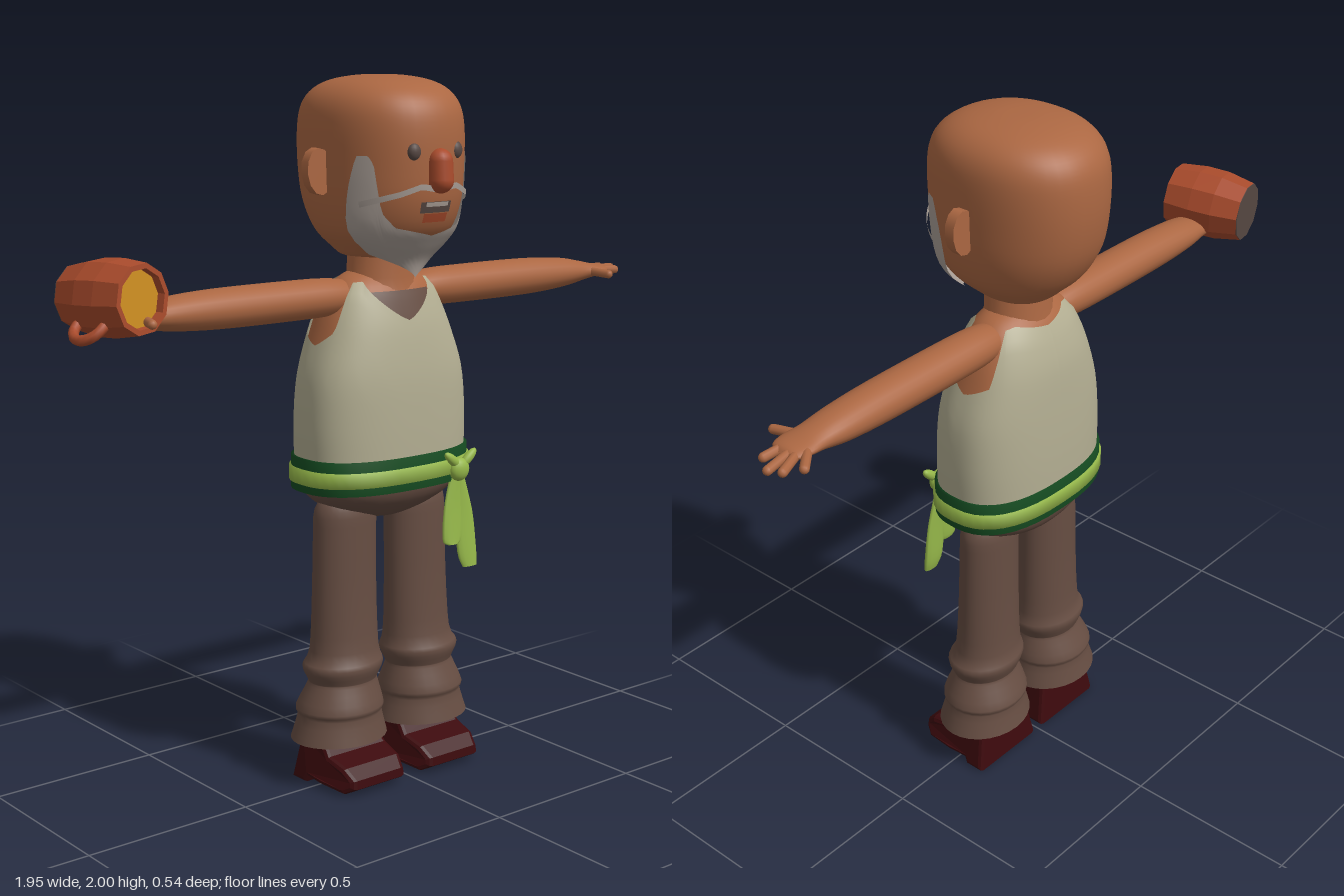
import * as THREE from 'three';

const mat = (name, color) => Object.assign(new THREE.MeshStandardMaterial({ color }), { name });
const M = {
  skin: mat('skin', 0xab6742), shirt: mat('shirt', 0xb3ae92), trousers: mat('trousers', 0x664d42),
  darkGreen: mat('dark green', 0x164d22), lightGreen: mat('light green', 0x96b84a), shoe: mat('shoe leather', 0x3d0a0d),
  beard: mat('beard', 0xaa9f97), wood: mat('wood red', 0xa94b2c), beer: mat('beer', 0xcf8f22), dark: mat('dark grey', 0x574843),
};
for (const k of ['shirt', 'beard', 'trousers', 'lightGreen']) M[k].side = THREE.DoubleSide;

// A section is [y, rx, rz, cz, roundness, cx]; refine() smooths a short list of them.
const fill = (s) => [s[0], s[1], s[2], s[3] ?? 0, s[4] ?? 2, s[5] ?? 0];
function refine(list, k = 4) {
  const s = list.map(fill), out = [];
  for (let i = 0; i < s.length - 1; i++) {
    const p0 = s[Math.max(i - 1, 0)], p1 = s[i], p2 = s[i + 1], p3 = s[Math.min(i + 2, s.length - 1)];
    for (let j = 0; j < k; j++) {
      const t = j / k;
      out.push(p1.map((v, c) => {
        const w = v + 0.5 * t * (p2[c] - p0[c] + t * (2 * p0[c] - 5 * v + 4 * p2[c] - p3[c] + t * (3 * (v - p2[c]) + p3[c] - p0[c])));
        return c === 1 || c === 2 ? Math.max(w, 0.001) : w;
      }));
    }
  }
  out.push(s[s.length - 1]);
  return out;
}
function lerpTable(table, x) {
  let i = 0;
  while (i < table.length - 2 && x > table[i + 1][0]) i++;
  const a = table[i], b = table[i + 1];
  const t = THREE.MathUtils.clamp((x - a[0]) / (b[0] - a[0]), 0, 1);
  return a.map((v, c) => v + (b[c] - v) * t);
}
// Angle 0 faces the front and grows towards +x.
function ringPoint([y, rx, rz, cz, n, cx], a, off = 0) {
  const pw = (v) => Math.sign(v) * Math.abs(v) ** (2 / n);
  return [cx + (rx + off) * pw(Math.sin(a)), y, cz + (rz + off) * pw(Math.cos(a))];
}
function gridGeometry(rows, closed) {
  const n = rows[0].length, idx = [];
  for (let i = 0; i < rows.length - 1; i++) for (let j = 0; j < (closed ? n : n - 1); j++) {
    const a = i * n + j, b = i * n + (j + 1) % n;
    idx.push(a, b, a + n, b, b + n, a + n);
  }
  const g = new THREE.BufferGeometry();
  g.setAttribute('position', new THREE.Float32BufferAttribute(rows.flat(2), 3));
  g.setIndex(idx);
  g.computeVertexNormals();
  return g;
}
const loft = (sections, n = 32) => gridGeometry(
  sections.map((s) => Array.from({ length: n }, (_, j) => ringPoint(fill(s), (j / n) * Math.PI * 2))), true);

// Thin sheet laid on a lofted body between two height rules, over +-deg degrees.
function sheet(sections, deg, lo, hi, off, nA = 64, nY = 10) {
  const rows = [];
  for (let i = 0; i <= nY; i++) {
    const row = [];
    for (let j = 0; j <= nA; j++) {
      const d = -deg + (2 * deg * j) / nA, l = lo(Math.abs(d)), y = l + (hi(Math.abs(d)) - l) * (i / nY);
      const s = lerpTable(sections, y);
      s[0] = y;
      row.push(ringPoint(s, THREE.MathUtils.degToRad(d), off));
    }
    rows.push(row);
  }
  return gridGeometry(rows, false);
}

export function createModel() {
  const root = new THREE.Group();
  root.name = 'bearded man with mug';
  const add = (name, geo, material, pos = [0, 0, 0], parent = root) => {
    const m = new THREE.Mesh(geo, material);
    m.name = name;
    m.position.set(...pos);
    parent.add(m);
    return m;
  };
  const ball = (name, material, pos, scale, parent) => {
    const m = add(name, new THREE.SphereGeometry(1, 16, 12), material, pos, parent);
    m.scale.set(...scale);
    return m;
  };

  // Head
  const head = refine([
    [1.5, 0.001, 0.001, -0.03, 2.2], [1.505, 0.09, 0.09, -0.03, 2.2], [1.53, 0.13, 0.135, -0.02, 2.2],
    [1.58, 0.175, 0.195, -0.012, 2.2], [1.66, 0.198, 0.235, -0.016, 2.2], [1.76, 0.204, 0.25, -0.02, 2.2],
    [1.86, 0.204, 0.25, -0.02, 2.2], [1.92, 0.194, 0.235, -0.02, 2.2], [1.96, 0.168, 0.2, -0.02, 2.2],
    [1.985, 0.125, 0.145, -0.02, 2.2], [1.998, 0.06, 0.07, -0.02, 2.2], [2, 0.001, 0.001, -0.02, 2.2]]);
  add('head', loft(head, 40), M.skin);
  for (const s of [1, -1]) {
    const ear = add('ear', new THREE.CylinderGeometry(1, 1, 1, 12).rotateX(Math.PI / 2), M.skin, [s * 0.222, 1.745, -0.015]);
    ear.scale.set(0.043, 0.064, 0.03);
    ear.rotation.z = -s * 0.12;
    ball('eye', M.dark, [s * 0.073, 1.802, 0.212], [0.021, 0.024, 0.016]);
  }
  const nose = add('nose', new THREE.CapsuleGeometry(0.035, 0.05, 8, 16), M.wood, [0, 1.75, 0.235]);
  nose.rotation.x = -0.08;

  // Mouth, moustache and beard
  const flat = (v) => () => v;
  add('mouth', sheet(head, 13, flat(1.638), flat(1.668), 0.004, 10, 2), M.dark);
  add('teeth', sheet(head, 9, flat(1.655), flat(1.667), 0.007, 10, 2), M.beard);
  add('lower lip', sheet(head, 10, flat(1.612), flat(1.636), 0.008, 10, 2), M.wood);
  const stache = (d) => lerpTable([[0, 1.7], [14, 1.71], [30, 1.69], [60, 1.662]], d)[1];
  add('moustache', sheet(head, 60, (d) => stache(d) - 0.008, (d) => stache(d) + 0.008, 0.01, 40, 2), M.beard);
  const jaw = refine([
    [1.45, 0.022, 0.028, 0.1], [1.5, 0.085, 0.08, 0.062], [1.55, 0.152, 0.142, 0.037],
    [1.6, 0.192, 0.2, 0.01], [1.7, 0.208, 0.246, -0.014], [1.8, 0.213, 0.252, -0.014]]);
  const beardTop = [[0, 1.575], [34, 1.6], [44, 1.64], [49, 1.77], [53, 1.792], [61, 1.79], [66, 1.72], [78, 1.53]];
  add('beard', sheet(jaw, 78, (d) => 1.455 + 0.065 * d / 78, (d) => lerpTable(beardTop, d)[1], 0.003, 80, 14), M.beard);

  // Neck and torso
  add('neck', loft([[1.4, 0.125, 0.1, -0.02], [1.45, 0.1, 0.088, -0.02], [1.56, 0.095, 0.085, -0.015]], 24), M.skin);
  const body = refine([
    [0.93, 0.265, 0.16, -0.02, 2.5], [1.05, 0.267, 0.16, -0.02, 2.5], [1.18, 0.255, 0.155, -0.02, 2.5],
    [1.3, 0.218, 0.142, -0.024, 2.4], [1.37, 0.192, 0.124, -0.025, 2.3], [1.42, 0.168, 0.104, -0.025, 2.2],
    [1.45, 0.135, 0.08, -0.025, 2.1], [1.47, 0.09, 0.06, -0.025, 2]]);
  add('chest', loft(body.filter((s) => s[0] > 1.2).map((s) => [s[0], s[1] - 0.006, s[2] - 0.006, ...s.slice(3)])), M.skin);
  const neckline = [[0, 1.335], [46, 1.443], [60, 1.44], [70, 1.31], [90, 1.27], [114, 1.3], [126, 1.44], [140, 1.445], [180, 1.425]];
  const shirtTop = (d) => lerpTable(neckline, d)[1];
  add('vest', sheet(body, 180, flat(0.93), shirtTop, 0, 120, 18), M.shirt);
  add('chest hair', sheet(body, 34, (d) => shirtTop(d) - 0.01, (d) => Math.max(1.415, shirtTop(d) - 0.01), -0.003, 24, 6), M.trousers);

  // Hips and sash
  add('hips', loft(refine([
    [0.76, 0.001, 0.001, -0.03], [0.766, 0.07, 0.06, -0.03], [0.8, 0.175, 0.115, -0.028, 2.2],
    [0.85, 0.24, 0.145, -0.022, 2.4], [0.94, 0.262, 0.157, -0.02, 2.5]])), M.trousers);
  const band = (name, lo, hi, grow, material) => add(name, loft([
    [lo, 0.255, 0.15, -0.02, 2.5], [lo, 0.265 + grow, 0.157 + grow, -0.02, 2.5],
    [hi, 0.265 + grow, 0.157 + grow, -0.02, 2.5], [hi, 0.255, 0.15, -0.02, 2.5]], 40), material);
  band('sash', 0.862, 0.957, 0.01, M.darkGreen);
  band('sash stripe', 0.885, 0.928, 0.015, M.lightGreen);
  const knot = new THREE.Group();
  knot.name = 'sash knot';
  root.add(knot);
  ball('knot', M.lightGreen, [0.16, 0.895, 0.14], [0.034, 0.034, 0.022], knot);
  for (const [x, tilt] of [[0.132, 0.7], [0.192, -0.7]]) {
    const wing = ball('bow wing', M.lightGreen, [x, 0.925, 0.143], [0.036, 0.014, 0.013], knot);
    wing.rotation.z = -tilt;
  }
  const tail = (name, pts) => add(name, loft(refine(pts.map(([y, x, rx], i) => [y, rx, 0.009 + 0.003 * (i % 2), 0.146 - 0.006 * i, 2, x])), 12), M.lightGreen, [0, 0, 0], knot);
  tail('short sash tail', [[0.68, 0.132, 0.02], [0.7, 0.135, 0.036], [0.8, 0.145, 0.034], [0.9, 0.16, 0.014]].map((p) => p));
  tail('long sash tail', [[0.605, 0.198, 0.026], [0.65, 0.192, 0.036], [0.77, 0.182, 0.034], [0.9, 0.163, 0.014]]);

  // Legs and shoes
  const sole = new THREE.Shape([[-0.1, 0], [-0.04, 0], [-0.03, 0.018], [0.03, 0.014], [0.12, 0.008], [0.15, 0.025],
    [0.148, 0.05], [0.115, 0.08], [0.05, 0.098], [0.01, 0.14], [-0.085, 0.14], [-0.095, 0.05]].map((p) => new THREE.Vector2(...p)));
  for (const s of [1, -1]) {
    const legs = [[0.13, 0.147, 0.125, -0.02, 0.153], [0.2, 0.127, 0.11, -0.02, 0.15], [0.222, 0.133, 0.117, -0.02, 0.15],
      [0.29, 0.108, 0.088, -0.016, 0.143], [0.305, 0.108, 0.088, -0.016, 0.142], [0.345, 0.125, 0.1, -0.016, 0.141],
      [0.39, 0.108, 0.084, -0.018, 0.135], [0.55, 0.102, 0.074, -0.02, 0.132], [0.72, 0.1, 0.07, -0.021, 0.129],
      [0.8, 0.098, 0.066, -0.021, 0.126], [0.84, 0.07, 0.045, -0.021, 0.124]];
    add('trouser leg', loft(refine(legs.map(([y, rx, rz, cz, cx]) => [y, rx, rz, cz, 2, s * cx]), 3), 28), M.trousers);
    const g = new THREE.ExtrudeGeometry(sole, { depth: 0.226, bevelThickness: 0.014, bevelSize: 0.012, bevelOffset: -0.012, bevelSegments: 2 });
    g.translate(0, 0, -0.113).rotateY(-Math.PI / 2);
    const p = g.attributes.position;
    for (let i = 0; i < p.count; i++) {
      const toe = Math.max(0, p.getZ(i) - 0.06) / 0.09;
      p.setX(i, p.getX(i) * (1 - 1.6 * p.getY(i)) * (1 - 0.25 * toe * toe));
    }
    g.computeVertexNormals();
    add('shoe', g, M.shoe, [s * 0.14, 0, 0]);
  }

  // Arms and hands
  const armShape = refine([[0.1, 0.04, 0.05, -0.028], [0.18, 0.052, 0.06, -0.028], [0.3, 0.055, 0.063, -0.028], [0.55, 0.054, 0.063, -0.028],
    [0.7, 0.045, 0.06, -0.028], [0.78, 0.031, 0.054, -0.026], [0.83, 0.02, 0.058, -0.024], [0.87, 0.014, 0.048, -0.026], [0.885, 0.001, 0.02, -0.03]]);
  const fingers = [[0.8, 0.02, 0.815, 0.085], [0.83, -0.06, 0.895, -0.115], [0.84, -0.045, 0.94, -0.085],
    [0.84, -0.03, 0.958, -0.05], [0.84, -0.005, 0.925, 0.002]];
  for (const s of [1, -1]) {
    add('arm', loft(armShape, 24).rotateZ(-s * Math.PI / 2), M.skin, [0, 1.4, 0]);
    const reach = s > 0 ? 1 : 0.6;
    fingers.forEach(([x0, z0, x1, z1], i) => {
      const k = i ? reach : 1;
      const from = new THREE.Vector3(s * x0, 1.4, z0);
      const to = new THREE.Vector3(s * (x0 + (x1 - x0) * k), 1.395, z0 + (z1 - z0) * k);
      const dir = to.clone().sub(from);
      const f = add(i ? 'finger' : 'thumb', new THREE.CapsuleGeometry(0.013, dir.length() - 0.013, 5, 10), M.skin, from.add(to).multiplyScalar(0.5).toArray());
      f.quaternion.setFromUnitVectors(new THREE.Vector3(0, 1, 0), dir.normalize());
    });
  }

  // Staved mug, tipped so its mouth faces forward
  const mug = new THREE.Group();
  mug.name = 'mug';
  mug.position.set(-0.86, 1.455, -0.04);
  mug.quaternion.setFromUnitVectors(new THREE.Vector3(0, 1, 0), new THREE.Vector3(0.05, 0.01, 0.22).normalize());
  root.add(mug);
  const stave = [[0.086, -0.115], [0.101, -0.035], [0.102, 0.035], [0.092, 0.115], [0.078, 0.115], [0.076, 0.08]];
  const staves = new THREE.LatheGeometry(stave.map((p) => new THREE.Vector2(...p)), 10).toNonIndexed();
  staves.computeVertexNormals();
  add('mug staves', staves, M.wood, [0, 0, 0], mug);
  add('mug base', new THREE.CylinderGeometry(0.086, 0.086, 0.008, 10), M.dark, [0, -0.113, 0], mug);
  add('beer', new THREE.CylinderGeometry(0.079, 0.079, 0.008, 10), M.beer, [0, 0.088, 0], mug);
  const handle = add('mug handle', new THREE.TorusGeometry(0.048, 0.014, 8, 20), M.wood, [-0.06, 0, 0.08], mug);
  handle.rotation.y = Math.atan2(-0.8, -0.6);
  return root;
}
